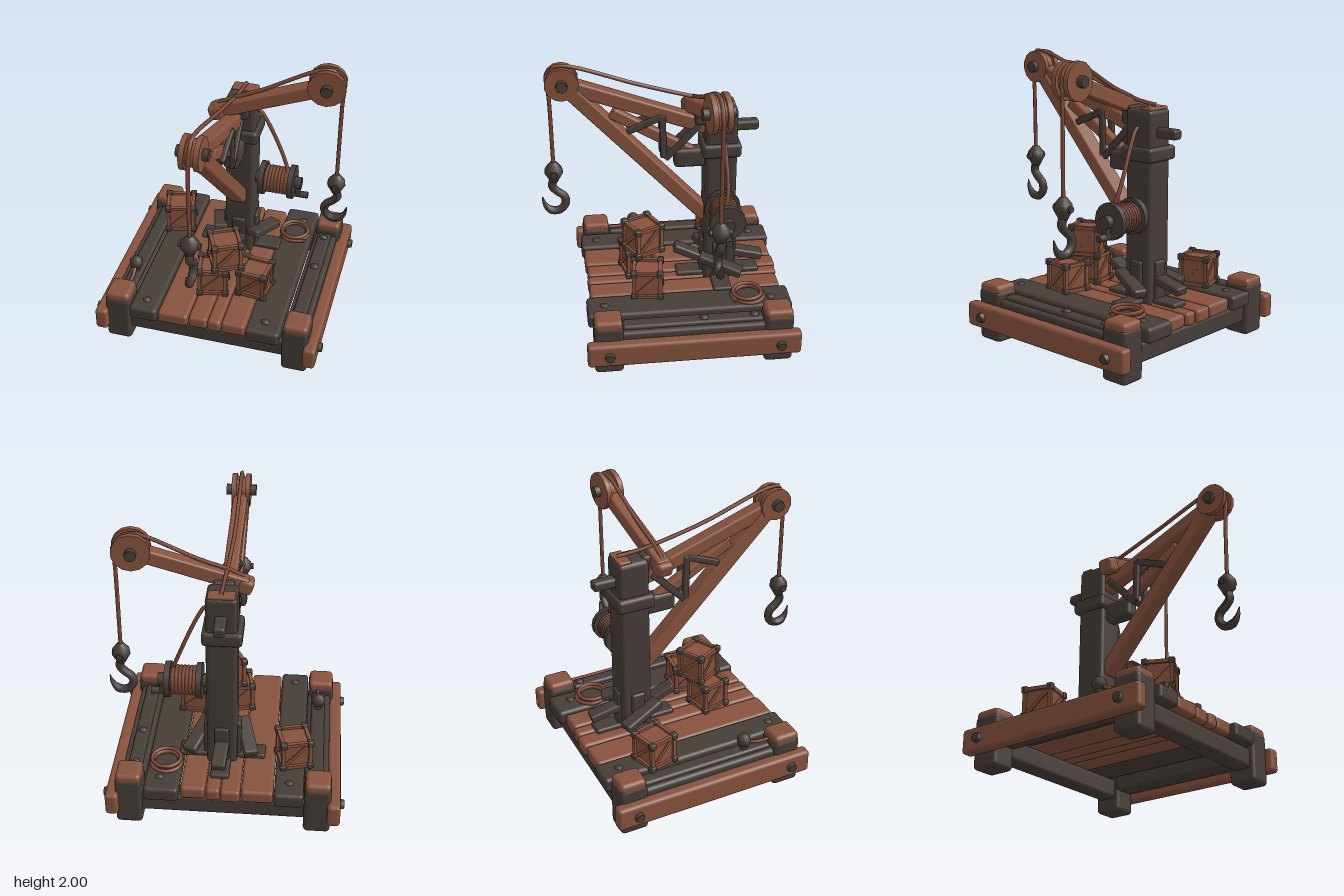
import * as THREE from 'three';
import { RoundedBoxGeometry } from 'three/addons/geometries/RoundedBoxGeometry.js';

const wood = new THREE.MeshStandardMaterial({ color: 0x87523d });
wood.name = 'warmWood';
const dark = new THREE.MeshStandardMaterial({ color: 0x463d38 });
dark.name = 'darkTimberAndIron';
const ropeMat = new THREE.MeshStandardMaterial({ color: 0x7c4a37 });
ropeMat.name = 'rope';

const V = (x, y, z) => new THREE.Vector3(x, y, z);

function add(parent, name, geo, mat, x = 0, y = 0, z = 0) {
  const m = new THREE.Mesh(geo, mat);
  m.name = name;
  m.position.set(x, y, z);
  parent.add(m);
  return m;
}

// softly rounded block given by its min and max on each axis
function block(parent, name, mat, [x0, x1], [y0, y1], [z0, z1], r = 0.02) {
  const s = [x1 - x0, y1 - y0, z1 - z0];
  const geo = new RoundedBoxGeometry(...s, 2, Math.min(r, Math.min(...s) * 0.45));
  return add(parent, name, geo, mat, (x0 + x1) / 2, (y0 + y1) / 2, (z0 + z1) / 2);
}

// timber running from a to b
function beam(parent, name, mat, a, b, w, h, r = 0.015) {
  const geo = new RoundedBoxGeometry(w, h, a.distanceTo(b), 2, r);
  const m = add(parent, name, geo, mat);
  m.position.copy(a).lerp(b, 0.5);
  m.lookAt(b);
  return m;
}

// round bar from a to b
function rod(parent, name, mat, a, b, r, sides = 10, r2 = r) {
  const m = add(parent, name, new THREE.CylinderGeometry(r2, r, a.distanceTo(b), sides), mat);
  m.position.copy(a).lerp(b, 0.5);
  m.quaternion.setFromUnitVectors(V(0, 1, 0), b.clone().sub(a).normalize());
  return m;
}

function rope(parent, name, points, r = 0.014) {
  const path = new THREE.CatmullRomCurve3(points, false, 'centripetal');
  return add(parent, name, new THREE.TubeGeometry(path, 24, r, 7), ropeMat);
}

// crate with recessed panels, frame, diagonals and iron corners
function crate(parent, x, y, z, turn, s = 0.2) {
  const g = new THREE.Group();
  g.name = 'crate';
  g.position.set(x, y + s / 2, z);
  g.rotation.y = turn;
  const h = s / 2, t = 0.026, e = h - t / 2;
  add(g, 'cratePanels', new THREE.BoxGeometry(s - 0.036, s - 0.036, s - 0.036), wood);
  for (const a of [-e, e]) for (const b of [-e, e]) {
    add(g, 'crateRail', new THREE.BoxGeometry(s - t, t, t), wood, 0, a, b);
    add(g, 'crateRail', new THREE.BoxGeometry(t, s - t, t), wood, a, 0, b);
    add(g, 'crateRail', new THREE.BoxGeometry(t, t, s - t), wood, a, b, 0);
    for (const c of [-e, e])
      add(g, 'crateCorner', new RoundedBoxGeometry(0.045, 0.045, 0.045, 1, 0.008), dark, a, b, c);
  }
  for (let i = 0; i < 4; i++) {
    const side = new THREE.Group();
    side.name = 'crateSide';
    side.rotation.y = i * Math.PI / 2;
    const d = add(side, 'crateDiagonal', new THREE.BoxGeometry(s * 1.2, 0.024, 0.014), wood, 0, 0, e - 0.004);
    d.rotation.z = Math.PI / 4;
    g.add(side);
  }
  parent.add(g);
}

// iron hook with its block; origin is where the rope enters, tip points to +x
function hook(parent, name, x, y, z, turn) {
  const g = new THREE.Group();
  g.name = name;
  g.position.set(x, y, z);
  g.rotation.y = turn;
  const profile = [[0, 0.02], [0.025, 0.015], [0.06, -0.03], [0.065, -0.065], [0.045, -0.1], [0.03, -0.13], [0, -0.135]];
  add(g, 'hookBlock', new THREE.LatheGeometry(profile.map(p => new THREE.Vector2(...p)).reverse(), 12), dark);
  rod(g, 'hookPin', dark, V(0, -0.055, -0.075), V(0, -0.055, 0.075), 0.024, 8);
  const path = new THREE.CatmullRomCurve3([
    V(0, -0.11, 0), V(0.015, -0.17, 0), V(-0.015, -0.21, 0), V(-0.065, -0.255, 0), V(-0.072, -0.31, 0),
    V(-0.03, -0.36, 0), V(0.03, -0.36, 0), V(0.07, -0.315, 0), V(0.088, -0.25, 0)]);
  const steps = 32, sides = 8;
  const geo = new THREE.TubeGeometry(path, steps, 0.03, sides);
  // taper the bend toward its tip
  const p = geo.attributes.position;
  for (let i = 0; i <= steps; i++) {
    const c = path.getPointAt(i / steps), k = i / steps > 0.75 ? 1 - (i / steps - 0.75) * 3.6 : 1;
    for (let j = 0; j <= sides; j++) {
      const n = i * (sides + 1) + j;
      const v = V().fromBufferAttribute(p, n).sub(c).multiplyScalar(k).add(c);
      p.setXYZ(n, v.x, v.y, v.z);
    }
  }
  geo.computeVertexNormals();
  add(g, 'hookBend', geo, dark);
  parent.add(g);
}

// pair of cheek discs, a grooved wheel and an axle along z
function pulley(parent, name, x, y, z, r, turn) {
  const g = new THREE.Group();
  g.name = name;
  g.position.set(x, y, z);
  g.rotation.y = turn;
  for (const s of [-1, 1]) rod(g, 'pulleyCheek', wood, V(0, 0, s * 0.03), V(0, 0, s * 0.065), r, 14);
  rod(g, 'pulleyWheel', wood, V(0, 0, -0.03), V(0, 0, 0.03), r * 0.8, 14);
  rod(g, 'pulleyAxle', dark, V(0, 0, -0.105), V(0, 0, 0.105), 0.04, 8);
  parent.add(g);
}

function bolt(parent, x, y, z, r = 0.032) {
  const m = add(parent, 'bolt', new THREE.SphereGeometry(r, 8, 4, 0, Math.PI * 2, 0, Math.PI / 2), dark, x, y, z);
  m.scale.y = 0.6;
}

export function createModel() {
  const root = new THREE.Group();
  root.name = 'dockCrane';
  const base = new THREE.Group(), crane = new THREE.Group(), cargo = new THREE.Group();
  base.name = 'platform'; crane.name = 'crane'; cargo.name = 'cargo';
  root.add(base, crane, cargo);

  // corner posts, side beams and bolts
  for (const s of [-1, 1]) {
    const span = (a, b) => s > 0 ? [a, b] : [-b, -a];
    for (const z of [0.46, -0.71]) {
      block(base, 'cornerPost', dark, span(0.555, 0.74), [0, 0.37], [z - 0.1, z + 0.1], 0.03);
      block(base, 'postCap', wood, span(0.56, 0.735), [0.33, 0.41], [z - 0.095, z + 0.095], 0.03);
      rod(base, 'sideBolt', dark, V(s * 0.79, 0.185, z), V(s * 0.832, 0.185, z), 0.04, 8, 0.03);
    }
    block(base, 'sideBeam', wood, span(0.715, 0.805), [0.1, 0.27], [-0.855, 0.61], 0.025);
    block(base, 'innerSideBeam', dark, span(0.55, 0.72), [0.15, 0.31], [-0.63, 0.38], 0.025);
    block(base, 'innerSideRidge', dark, span(0.58, 0.68), [0.28, 0.335], [-0.61, 0.36], 0.02);
  }
  for (const z of [0.46, -0.71]) block(base, 'crossBeam', dark, [-0.58, 0.58], [0.095, 0.235], [z - 0.07, z + 0.07], 0.025);

  // deck planks
  const planks = [
    [-0.55, -0.35, -0.84, 0.585, dark], [-0.345, -0.125, -0.81, 0.57, wood], [-0.12, 0.015, -0.82, 0.56, wood],
    [0.02, 0.115, -0.81, 0.565, wood], [0.12, 0.29, -0.8, 0.56, wood], [0.3, 0.54, -0.84, 0.59, dark]];
  for (const [x0, x1, z0, z1, mat] of planks)
    block(base, 'deckPlank', mat, [x0, x1], [0.235, mat === dark ? 0.34 : 0.33], [z0, z1], 0.025);
  for (const [x, z] of [[-0.45, -0.7], [-0.45, 0.47], [0.44, -0.7], [0.42, 0.47], [0.63, -0.55], [0.63, -0.2]])
    bolt(base, x, 0.335, z);

  // mooring knob with a short line
  rod(base, 'knobStem', dark, V(-0.63, 0.32, 0.17), V(-0.63, 0.38, 0.17), 0.03, 8);
  add(base, 'mooringKnob', new THREE.SphereGeometry(0.052, 8, 6), dark, -0.63, 0.4, 0.17);
  rope(base, 'mooringLine', [V(-0.63, 0.38, 0.2), V(-0.625, 0.35, 0.27), V(-0.63, 0.345, 0.37)], 0.013);

  // rope coil
  [[0.105, 0.35], [0.09, 0.365], [0.1, 0.38]].forEach(([r, y], i) => {
    const t = add(base, 'ropeCoil', new THREE.TorusGeometry(r, 0.014, 6, 24), ropeMat, 0.41, y - 0.005, -0.55 + i * 0.006);
    t.rotation.x = Math.PI / 2;
  });
  rope(base, 'ropeCoilEnd', [V(0.31, 0.35, -0.56), V(0.33, 0.35, -0.48), V(0.38, 0.35, -0.43), V(0.5, 0.35, -0.45)], 0.013);

  // mast with collar, rear stub and foot braces
  const mx = 0.03, mz = -0.38;
  block(crane, 'mast', dark, [-0.075, 0.135], [0.3, 1.65], [-0.49, -0.27], 0.03);
  block(crane, 'mastCollar', dark, [-0.11, 0.16], [1.3, 1.4], [-0.515, -0.245], 0.025);
  block(crane, 'mastTopPad', wood, [-0.06, 0.12], [1.64, 1.665], [-0.48, -0.39], 0.01);
  block(crane, 'rearStub', dark, [-0.01, 0.07], [1.46, 1.53], [-0.645, -0.45], 0.02);
  for (let i = 0; i < 4; i++) {
    const g = new THREE.Group();
    g.name = 'footBrace';
    g.position.set(mx, 0, mz);
    g.rotation.y = i * Math.PI / 2;
    beam(g, 'braceTimber', dark, V(0, 0.33, 0.235), V(0, 0.62, 0.1), 0.1, 0.06);
    block(g, 'braceFoot', dark, [-0.065, 0.065], [0.32, 0.36], [0.1, 0.3], 0.015);
    block(g, 'bracePlate', dark, [-0.05, 0.05], [0.34, 0.62], [0.09, 0.13], 0.015);
    crane.add(g);
  }

  // front jib: top beam, main strut, middle tie and dark bracing
  const tip1 = V(-0.015, 1.85, 0.685);
  beam(crane, 'frontJibBeam', wood, V(0.01, 1.49, -0.3), V(-0.015, 1.83, 0.66), 0.1, 0.1);
  beam(crane, 'frontJibStrut', wood, V(0.025, 0.81, -0.29), V(-0.015, 1.82, 0.66), 0.12, 0.1);
  beam(crane, 'frontJibTie', wood, V(0.02, 1.24, -0.29), V(0, 1.62, 0.36), 0.07, 0.08);
  for (const s of [-1, 1]) {
    const x = 0.005 + s * 0.045;
    beam(crane, 'jibBrace', dark, V(x, 1.28, 0.01), V(x, 1.6, 0.02), 0.035, 0.045, 0.01);
    beam(crane, 'jibBrace', dark, V(x, 1.49, 0.26), V(x, 1.59, 0.02), 0.035, 0.045, 0.01);
    beam(crane, 'jibBrace', dark, V(x, 1.27, 0.0), V(x, 1.52, -0.24), 0.035, 0.045, 0.01);
  }
  block(crane, 'jibGusset', dark, [-0.035, 0.075], [1.2, 1.34], [-0.28, -0.06], 0.03);
  pulley(crane, 'frontPulley', tip1.x, tip1.y, tip1.z, 0.115, Math.PI / 2);

  // side jib crossing the front of the mast
  const turn2 = 0.1;
  beam(crane, 'sideJibBeam', wood, V(-0.12, 1.6, -0.19), V(0.63, 1.86, -0.26), 0.1, 0.1);
  block(crane, 'sideJibButt', wood, [-0.16, -0.05], [1.54, 1.65], [-0.25, -0.13], 0.03).rotation.z = 0.33;
  block(crane, 'sideJibSaddle', dark, [-0.04, 0.1], [1.53, 1.66], [-0.3, -0.2], 0.02);
  pulley(crane, 'sidePulley', 0.63, 1.87, -0.265, 0.13, turn2);

  // stay ropes and hoist ropes
  rope(crane, 'frontStay', [V(0.03, 1.675, -0.46), V(0.02, 1.69, -0.3), V(-0.01, 1.8, 0.15), V(-0.015, 1.96, 0.65),
    V(-0.015, 1.955, 0.74), V(-0.02, 1.85, 0.775), V(-0.025, 1.7, 0.77), V(-0.025, 1.24, 0.765)], 0.014);
  rope(crane, 'sideStay', [V(-0.13, 1.62, -0.19), V(-0.08, 1.67, -0.19), V(0.2, 1.79, -0.22), V(0.56, 1.97, -0.26),
    V(0.65, 1.985, -0.27), V(0.72, 1.93, -0.275), V(0.737, 1.85, -0.28), V(0.735, 1.7, -0.28), V(0.735, 1.12, -0.28)], 0.014);
  rope(crane, 'winchRope', [V(0.12, 1.53, -0.38), V(0.15, 1.52, -0.38), V(0.36, 1.05, -0.38), V(0.37, 0.98, -0.3)], 0.014);
  hook(crane, 'frontHook', -0.025, 1.235, 0.765, -Math.PI / 2);
  hook(crane, 'sideHook', 0.735, 1.125, -0.28, 0);

  // winch drum, flanges, wound rope and crank
  const wx = (x, dy = 0) => V(x, 0.94 + dy, -0.385);
  rod(crane, 'winchAxle', dark, wx(0.1), wx(0.47), 0.045, 10);
  rod(crane, 'winchDrum', wood, wx(0.19), wx(0.39), 0.09, 16);
  for (const x of [0.165, 0.38]) rod(crane, 'winchFlange', dark, wx(x), wx(x + 0.04), 0.125, 16);
  for (let i = 0; i < 7; i++)
    add(crane, 'woundRope', new THREE.TorusGeometry(0.09, 0.014, 6, 20), ropeMat, 0.218 + i * 0.024, 0.94, -0.385).rotation.y = Math.PI / 2;
  beam(crane, 'crankArm', dark, wx(0.445, 0.03), wx(0.445, -0.115), 0.035, 0.05, 0.01);
  rod(crane, 'crankHandle', dark, wx(0.4, -0.1), wx(0.52, -0.1), 0.025, 8);

  // crates: stack of three and one on its own
  crate(cargo, -0.035, 0.335, 0.195, 0.2, 0.21);
  crate(cargo, 0.265, 0.335, 0.15, -0.12, 0.21);
  crate(cargo, 0.045, 0.555, 0.16, 0.45, 0.215);
  crate(cargo, -0.47, 0.34, -0.44, 0.25, 0.215);
  return root;
}
